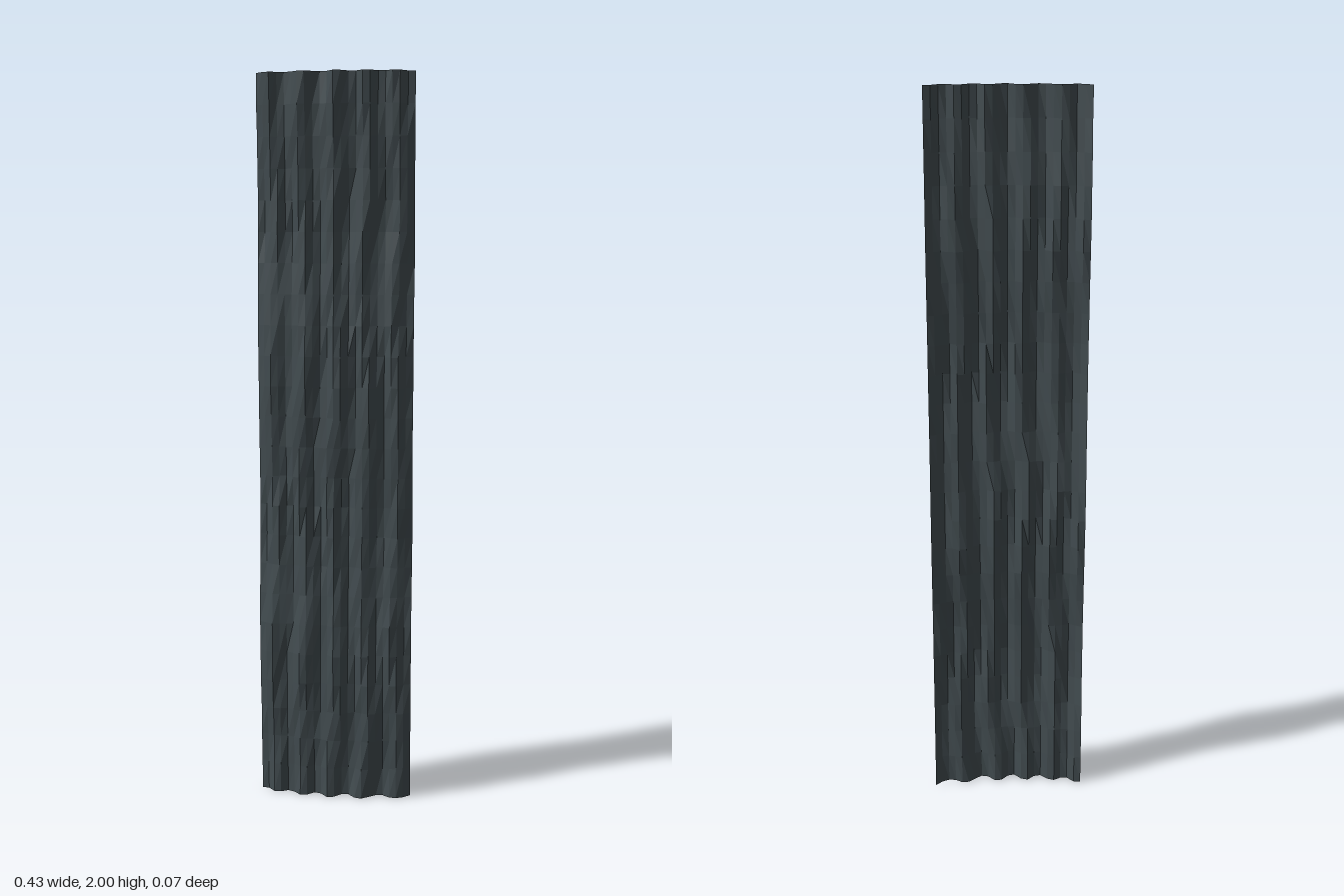
import * as THREE from 'three';

const WIDTH = 0.426, HEIGHT = 2, COLS = 22, ROWS = 24;

// Small repeatable noise in -1..1
function noise(a, b) {
  const s = Math.sin(a * 127.1 + b * 311.7) * 43758.5453;
  return (s - Math.floor(s)) * 2 - 1;
}

// Depth of the cloth: backward bow at the sides, five upright folds, a slow ripple down its length
function depth(x, y) {
  const u = x / WIDTH + 0.5;
  const ripple = (Math.PI * 2 * (y - 0.2)) / 0.8;
  const side = Math.abs(2 * u - 1);
  const bow = 0.003 - 0.026 * side * side;
  const sway = 0.75 * Math.sin(ripple + 6 * u) + 0.3 * Math.sin(y * 13 + 2);
  const foldSize = 0.0115 - 0.004 * Math.cos(2 * ripple);
  const folds = -foldSize * Math.cos(Math.PI * 2 * 5 * u + sway);
  const wave = 0.008 * Math.sin(ripple + 2 * x);
  return bow + folds * (1 - 0.35 * side) + wave;
}

export function createModel() {
  const model = new THREE.Group();
  const slateCloth = new THREE.MeshStandardMaterial({
    color: 0x434d51, flatShading: true, side: THREE.DoubleSide,
  });
  slateCloth.name = 'slate cloth';

  // Rippled hanging sheet with straight outer edges
  const sheet = new THREE.PlaneGeometry(WIDTH, HEIGHT, COLS, ROWS);
  sheet.translate(0, HEIGHT / 2, 0);
  const p = sheet.attributes.position;
  for (let i = 0; i < p.count; i++) {
    const col = i % (COLS + 1), row = Math.floor(i / (COLS + 1));
    const z = depth(p.getX(i), p.getY(i)) + 0.003 * noise(col, row);
    p.setZ(i, THREE.MathUtils.clamp(z, -0.043, 0.038));
  }
  const faceted = sheet.toNonIndexed();
  faceted.computeVertexNormals();

  const cloth = new THREE.Mesh(faceted, slateCloth);
  cloth.name = 'hangingCloth';
  model.add(cloth);
  return model;
}
